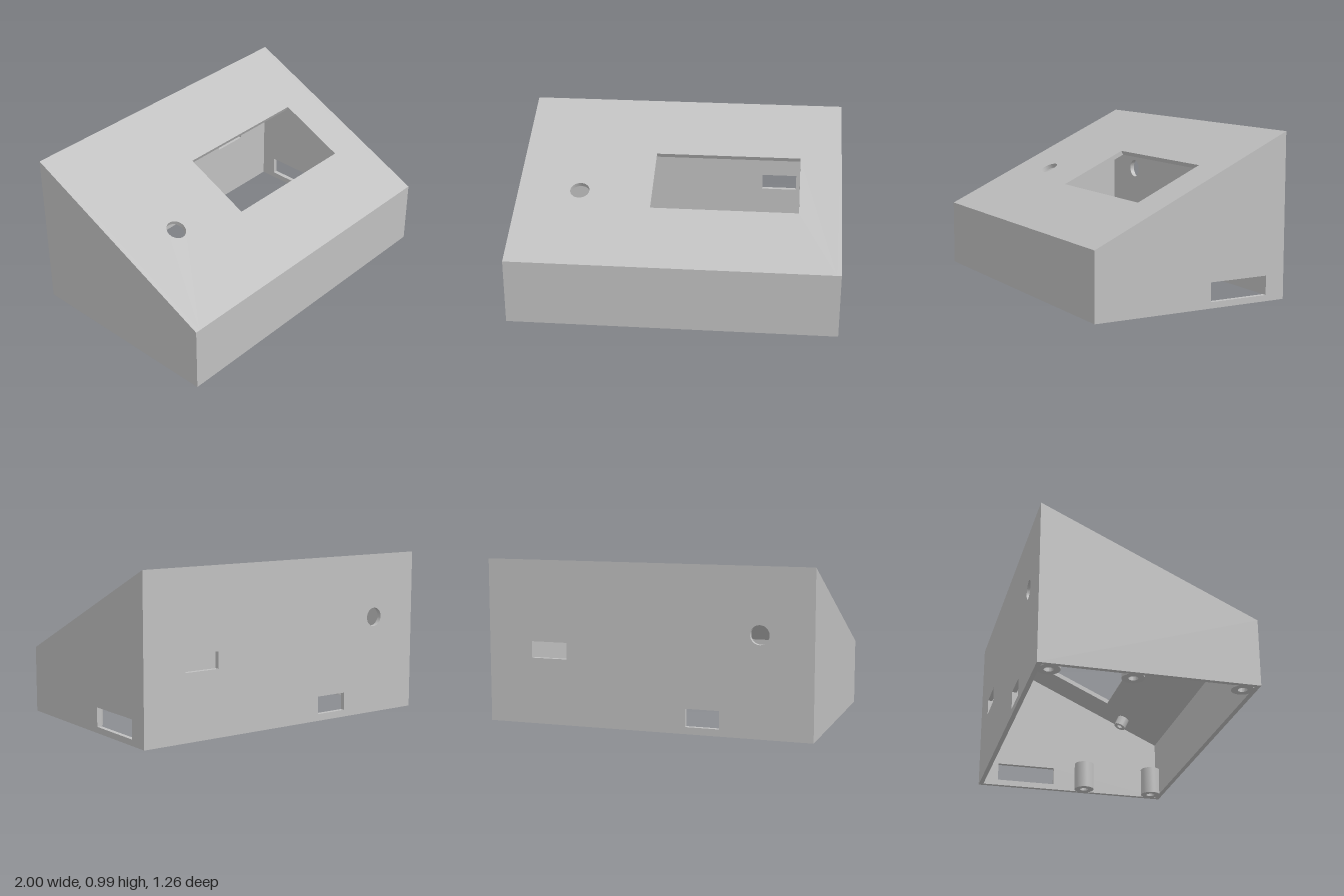
import * as THREE from 'three';
import { toCreasedNormals } from 'three/addons/utils/BufferGeometryUtils.js';

const T = 0.028;               // wall thickness
const D = 0.63;                // half depth
const FRONT = 0.405, BACK = 0.99;
const SLOPE = Math.atan2(BACK - FRONT, 2 * D);
const sin = Math.sin(SLOPE), cos = Math.cos(SLOPE);

const grey = new THREE.MeshStandardMaterial({ color: 0xc0c0c0 });
grey.name = 'grey plastic';

const rect = (x0, y0, x1, y1) => [[x0, y0], [x1, y0], [x1, y1], [x0, y1]].map(p => new THREE.Vector2(...p));
const round = (x, y, r) => new THREE.Path().absarc(x, y, r, 0, Math.PI * 2, true);
const cutout = (...a) => new THREE.Path(rect(...a));

// Wall with openings: outer face at local z = 0, thickness going inwards
function wall(name, points, holes = []) {
  const shape = new THREE.Shape(points);
  shape.holes.push(...holes);
  const geo = new THREE.ExtrudeGeometry(shape, { depth: T, bevelEnabled: false, curveSegments: 40 });
  geo.translate(0, 0, -T);
  const mesh = new THREE.Mesh(geo, grey);
  mesh.name = name;
  return mesh;
}

// Shift the inner bottom and top edges of a wall so neighbours meet in a mitre
function mitre(mesh, length, low, high) {
  const p = mesh.geometry.attributes.position;
  for (let i = 0; i < p.count; i++) {
    if (p.getZ(i) > -T / 2) continue;
    const y = p.getY(i);
    if (y < 1e-4) p.setY(i, y + low);
    else if (y > length - 1e-4) p.setY(i, y + high);
  }
  mesh.geometry.computeVertexNormals();
  return mesh;
}

// Round post with a blind screw hole opening downwards
function post(name, radius, bore, height, depth) {
  const profile = [[0, depth], [bore, depth], [bore, 0], [radius, 0], [radius, height], [0, height]];
  const geo = new THREE.LatheGeometry(profile.map(p => new THREE.Vector2(...p)), 32);
  const mesh = new THREE.Mesh(toCreasedNormals(geo, 0.6), grey);
  mesh.name = name;
  return mesh;
}

export function createModel() {
  const model = new THREE.Group();
  model.name = 'slopedEnclosure';
  const W = 1 - T;

  // Height of the inner corners relative to the outer ones
  const frontDrop = T * Math.tan(SLOPE) - T / cos;
  const backDrop = -T * Math.tan(SLOPE) - T / cos;

  // Front wall
  const front = mitre(wall('frontWall', rect(-W, 0, W, FRONT)), FRONT, 0, frontDrop);
  front.position.z = D;

  // Back wall with two sockets and a round opening (local x is mirrored)
  const back = mitre(wall('backWall', rect(-W, 0, W, BACK), [
    cutout(-0.725, 0.4, -0.5, 0.5),
    cutout(0.24, 0.042, 0.447, 0.15),
    round(0.683, 0.6, 0.057),
  ]), BACK, 0, backDrop);
  back.rotation.y = Math.PI;
  back.position.z = -D;

  // Side walls, the +x one with a socket
  const side = s => [[-D, 0], [D, 0], [D, s > 0 ? BACK : FRONT], [-D, s > 0 ? FRONT : BACK]]
    .map(p => new THREE.Vector2(...p));
  const left = wall('leftWall', side(1), [cutout(0.122, 0.037, 0.505, 0.152)]);
  left.rotation.y = Math.PI / 2;
  left.position.x = 1;
  const right = wall('rightWall', side(-1));
  right.rotation.y = -Math.PI / 2;
  right.position.x = -1;

  // Sloping panel with display window and button hole, local y runs up the slope
  const along = z => (D - z) / cos;
  const length = along(-D);
  const panel = new THREE.Group();
  panel.name = 'slopingPanel';
  panel.position.set(0, FRONT, D);
  panel.rotation.x = SLOPE - Math.PI / 2;
  panel.add(mitre(wall('topPlate', rect(-W, 0, W, length), [
    cutout(-0.165, along(0.21), 0.743, along(-0.2)),
    round(-0.615, along(0.102), 0.06),
  ]), length, frontDrop * sin + T * cos, backDrop * sin - T * cos));

  // Display mounting posts under the panel
  const midX = 0.289, midY = along(0.005), reach = 0.065;
  for (const sx of [-1, 1]) for (const sy of [-1, 1]) {
    const p = post('displayPost', 0.04, 0.018, reach + 0.005, reach - 0.01);
    p.rotation.x = Math.PI / 2;
    p.position.set(midX + sx * 0.55, midY + sy * 0.38, -T - reach);
    panel.add(p);
  }

  model.add(front, back, left, right, panel);

  // Screw posts for the base cover
  for (const [x, z] of [[0.92, 0.55], [0.92, 0.08], [-0.92, 0.55], [-0.92, -0.08], [-0.92, -0.55]]) {
    const p = post('screwPost', 0.065, 0.027, 0.18, 0.15);
    p.position.set(x, 0, z);
    model.add(p);
  }
  return model;
}
